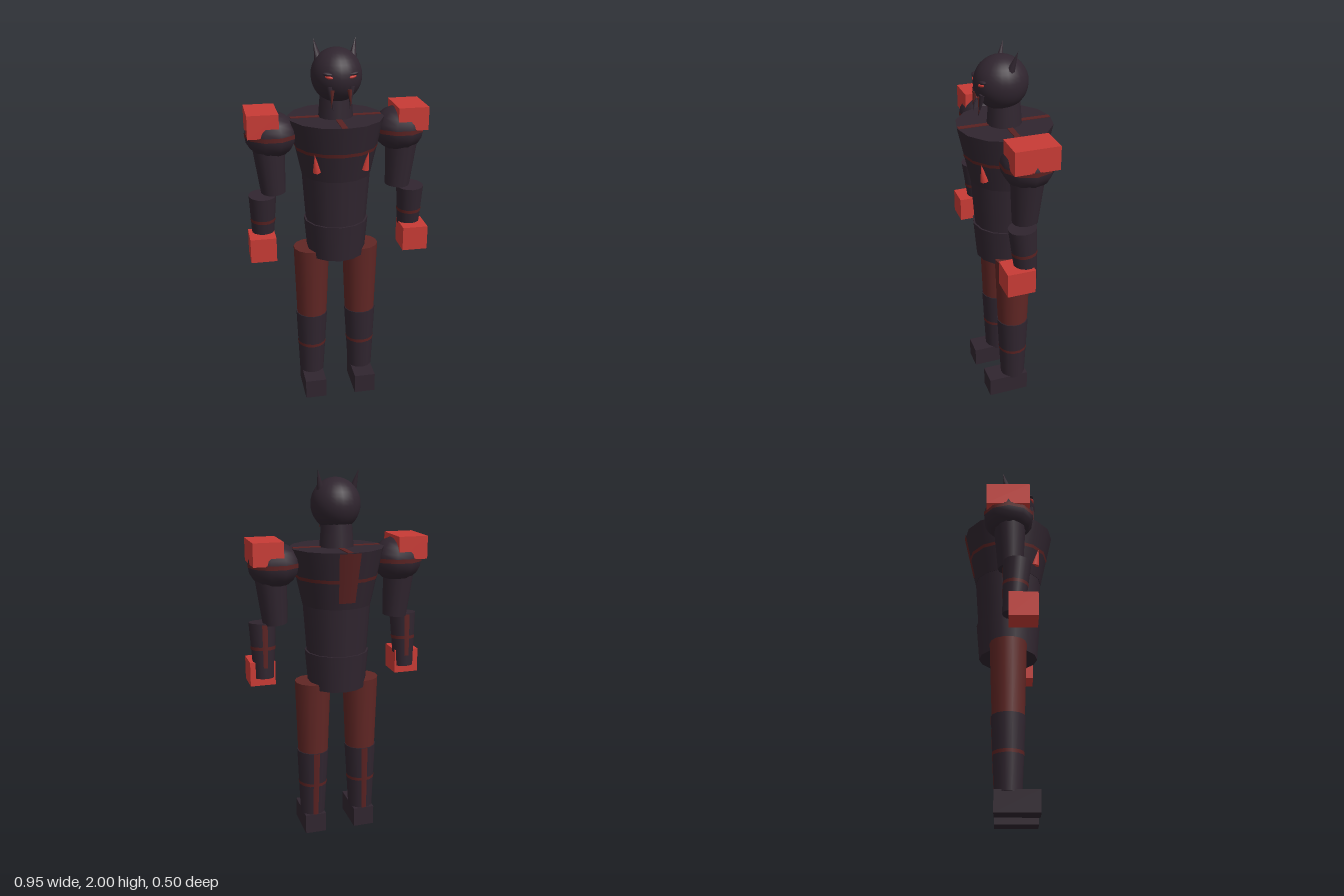
import * as THREE from 'three';

const mat = (name, color) => {
  const m = new THREE.MeshStandardMaterial({ color });
  m.name = name;
  return m;
};

export function createModel() {
  const dark = mat('dark armour', 0x30252f);
  const red = mat('bright red', 0xc83b35);
  const maroon = mat('maroon', 0x602624);
  const stripe = mat('stripe maroon', 0x5a2222);
  const model = new THREE.Group();
  model.name = 'armouredFigure';
  const V = (x, y, z) => new THREE.Vector3(x, y, z);

  const add = (parent, name, geo, material, x = 0, y = 0, z = 0) => {
    const m = new THREE.Mesh(geo, material);
    m.name = name;
    m.position.set(x, y, z);
    parent.add(m);
    return m;
  };
  const box = (parent, name, material, w, h, d, x, y, z) =>
    add(parent, name, new THREE.BoxGeometry(w, h, d), material, x, y, z);

  // Tapered tube from top point a to bottom point b, optional ring (t from the top) and back strip
  const limb = (parent, name, material, a, b, ra, rb, opt = {}) => {
    const segs = opt.segs ?? 14;
    const g = new THREE.Group();
    const len = a.distanceTo(b);
    g.name = name;
    g.position.copy(a).add(b).multiplyScalar(0.5);
    g.quaternion.setFromUnitVectors(V(0, 1, 0), a.clone().sub(b).normalize());
    parent.add(g);
    add(g, name + 'Shell', new THREE.CylinderGeometry(ra, rb, len, segs), material);
    const radius = t => ra + (rb - ra) * t + 0.002;
    if (opt.ring !== undefined) {
      const h = 0.018 / len / 2;
      add(g, name + 'Ring', new THREE.CylinderGeometry(radius(opt.ring - h), radius(opt.ring + h), 0.018, segs, 1, true),
        stripe, 0, len * (0.5 - opt.ring), 0);
    }
    if (opt.strip) {
      const { from, to, angle } = opt.strip;
      add(g, name + 'BackStrip', new THREE.CylinderGeometry(radius(from), radius(to), len * (to - from), 2, 1, true,
        Math.PI - angle / 2, angle), stripe, 0, len * (0.5 - (from + to) / 2), 0);
    }
    return g;
  };

  // Torso
  limb(model, 'chest', dark, V(0, 1.61, 0), V(0, 1.31, 0), 0.248, 0.182,
    { ring: 0.5, strip: { from: 0.01, to: 0.88, angle: 0.46 } });
  limb(model, 'abdomen', dark, V(0, 1.31, 0), V(0, 1.05, 0), 0.18, 0.162);
  limb(model, 'hips', dark, V(0, 1.055, 0), V(0, 0.855, 0), 0.172, 0.155);
  limb(model, 'neck', dark, V(0, 1.73, 0), V(0, 1.6, 0), 0.08, 0.09);
  box(model, 'collarStripeAcross', stripe, 0.47, 0.006, 0.03, 0, 1.61, 0);
  box(model, 'collarStripeAlong', stripe, 0.03, 0.006, 0.485, 0, 1.61, 0);

  // Head
  add(model, 'head', new THREE.SphereGeometry(0.13, 24, 18), dark, 0, 1.825, 0.018).scale.set(0.99, 1.04, 1.06);

  // Spike with its base at a and its tip at b
  const spike = (name, material, a, b, r, segs = 8) => {
    const m = add(model, name, new THREE.ConeGeometry(r, a.distanceTo(b), segs), material);
    m.position.copy(a).add(b).multiplyScalar(0.5);
    m.quaternion.setFromUnitVectors(V(0, 1, 0), b.clone().sub(a).normalize());
  };

  for (const s of [1, -1]) {
    const side = s > 0 ? 'left' : 'right';
    const n = part => side + part;

    // Face details
    spike(n('Horn'), dark, V(s * 0.084, 1.89, 0), V(s * 0.107, 2.0, -0.032), 0.023);
    const eye = add(model, n('Eye'), new THREE.SphereGeometry(0.02, 10, 8), red, s * 0.058, 1.837, 0.137);
    eye.scale.set(1.1, 0.4, 0.5);
    eye.rotation.set(0, s * 0.4, s * 0.15);
    const brow = add(model, n('Brow'), new THREE.SphereGeometry(0.028, 10, 8), dark, s * 0.06, 1.851, 0.13);
    brow.scale.set(1.1, 0.35, 0.6);
    brow.rotation.z = s * 0.15;
    spike(n('OuterTusk'), dark, V(s * 0.056, 1.79, 0.13), V(s * 0.04, 1.672, 0.15), 0.016);
    spike(n('InnerTusk'), maroon, V(s * 0.044, 1.775, 0.138), V(s * 0.048, 1.69, 0.148), 0.013);

    // Chest fin
    spike(n('ChestFin'), red, V(s * 0.124, 1.365, 0.148), V(s * 0.138, 1.46, 0.168), 0.022);

    // Shoulder
    add(model, n('Shoulder'), new THREE.SphereGeometry(0.135, 10, 10), dark, s * 0.335, 1.53, 0).scale.y = 0.88;
    add(model, n('ShoulderBand'), new THREE.CylinderGeometry(0.136, 0.136, 0.022, 10, 1, true, Math.PI / 2),
      stripe, s * 0.335, 1.533, 0);
    box(model, n('Pauldron'), red, 0.158, 0.12, 0.226, s * 0.384, 1.6, -0.002);

    // Arm
    limb(model, n('UpperArm'), dark, V(s * 0.352, 1.48, 0.006), V(s * 0.333, 1.22, 0.01), 0.085, 0.065);
    limb(model, n('Forearm'), dark, V(s * 0.395, 1.222, 0.045), V(s * 0.397, 0.925, 0.022), 0.072, 0.054,
      { ring: 0.45, strip: { from: 0.02, to: 0.8, angle: 0.4 } });
    box(model, n('Fist'), red, 0.135, 0.13, 0.147, s * 0.407, 0.95, 0.073);

    // Leg
    limb(model, n('Thigh'), maroon, V(s * 0.135, 0.888, 0), V(s * 0.137, 0.485, 0), 0.097, 0.083);
    limb(model, n('Shin'), dark, V(s * 0.138, 0.487, 0), V(s * 0.142, 0.1, 0), 0.087, 0.068,
      { ring: 0.5, strip: { from: 0, to: 1, angle: 0.4 } });
    box(model, n('Foot'), dark, 0.117, 0.11, 0.225, s * 0.142, 0.055, 0.042);
  }
  return model;
}
